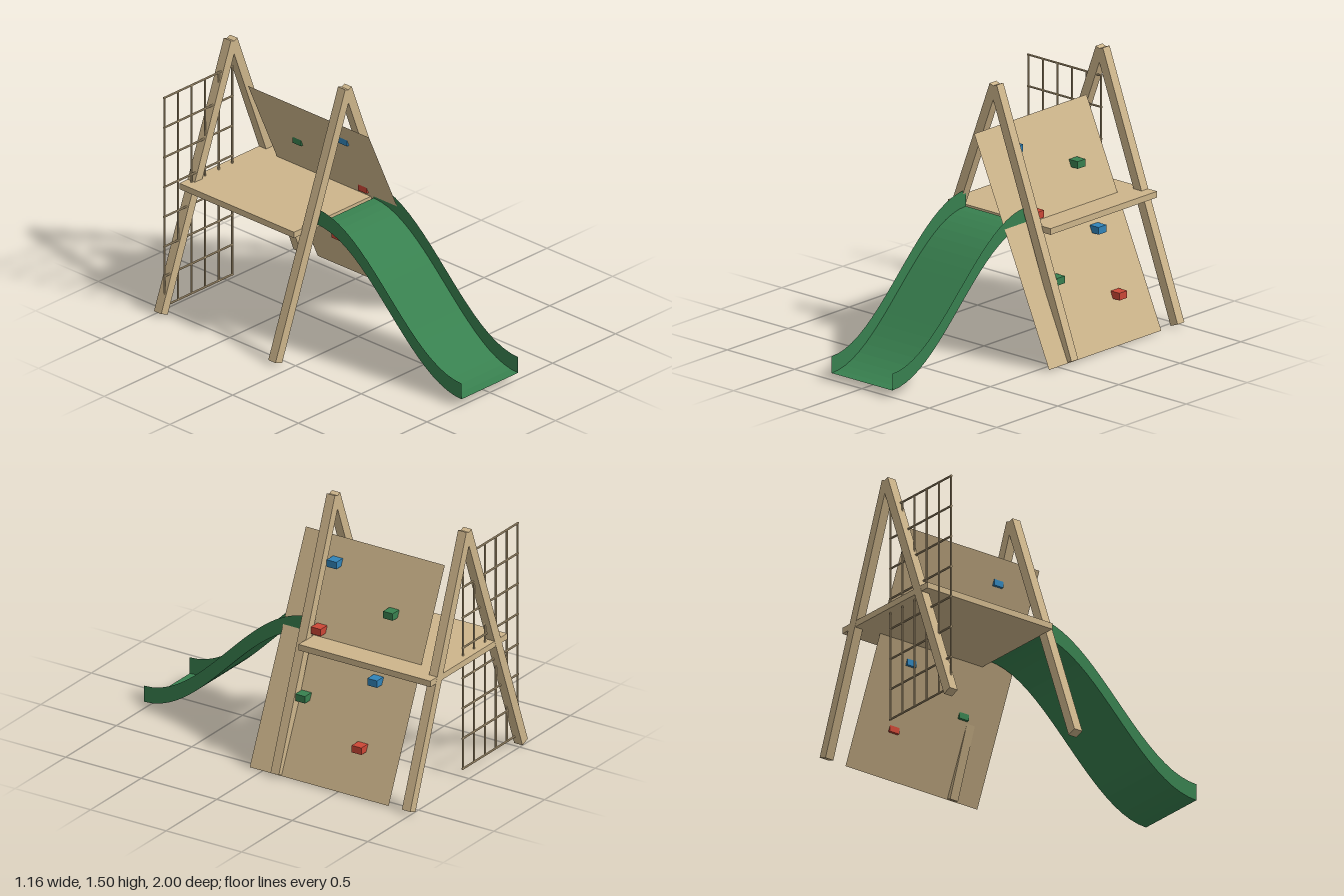
import * as THREE from 'three';

export function createModel() {
  const model = new THREE.Group();
  const material = (name, color) => {
    const m = new THREE.MeshStandardMaterial({ color, side: THREE.DoubleSide, flatShading: true });
    m.name = name;
    return m;
  };
  const wood = material('wood', 0xcdb58b);
  const green = material('green', 0x38804f);
  const red = material('red', 0xcb4736);
  const blue = material('blue', 0x3183b8);

  const add = (name, geometry, mat, x = 0, y = 0, z = 0, parent = model) => {
    const mesh = new THREE.Mesh(geometry, mat);
    mesh.name = name;
    mesh.position.set(x, y, z);
    parent.add(mesh);
    return mesh;
  };

  // A-frames: two square beams meeting at the apex
  const spread = 0.555, apex = 1.49, foot = 0.01;
  const legLength = Math.hypot(spread, apex - foot);
  const legTilt = Math.atan2(spread, apex - foot);
  for (const [name, z] of [['frontFrame', -0.1025], ['backFrame', -0.9725]]) {
    const frame = new THREE.Group();
    frame.name = name;
    model.add(frame);
    for (const side of [-1, 1]) {
      const leg = add(side > 0 ? 'leftLeg' : 'rightLeg', new THREE.BoxGeometry(0.056, legLength, 0.055),
        wood, side * spread / 2, (apex + foot) / 2, z, frame);
      leg.rotation.z = side * legTilt;
    }
  }

  // Platform
  add('platform', new THREE.BoxGeometry(0.76, 0.036, 0.873), wood, 0, 0.716, -0.5625);

  // Sloping climbing wall, a thin sheet
  const wallBottom = 0.005, wallTop = 1.25, wallFoot = 0.555;
  const wallX = (y) => wallFoot * (wallTop - y) / (wallTop - wallBottom);
  const wall = add('climbingWall',
    new THREE.PlaneGeometry(0.92, Math.hypot(wallFoot, wallTop - wallBottom)).rotateY(Math.PI / 2),
    wood, wallFoot / 2, (wallTop + wallBottom) / 2, -0.38);
  wall.rotation.z = Math.atan2(wallFoot, wallTop - wallBottom);

  // Climbing holds, alternating between two columns
  const holdColours = [blue, green, red];
  for (let i = 0; i < 6; i++) {
    const y = 1.125 - i * 0.1735;
    add('climbingHold', new THREE.BoxGeometry(0.064, 0.042, 0.064), holdColours[i % 3],
      wallX(y) + 0.025, y, i % 2 ? -0.59 : -0.165);
  }

  // Slide: S-curved strips joined between two edges of a cross-section
  const steps = 20, z0 = -0.1, z1 = 1;
  const slidePoint = (t) => [0.04 + 0.695 * (1 + Math.cos(Math.PI * t)) / 2, z0 + (z1 - z0) * t];
  const strip = (xa, ya, xb, yb) => {
    const positions = [], index = [];
    for (let i = 0; i <= steps; i++) {
      const [y, z] = slidePoint(i / steps);
      positions.push(xa, y + ya, z, xb, y + yb, z);
      const k = i * 2;
      if (i < steps) index.push(k, k + 2, k + 1, k + 1, k + 2, k + 3);
    }
    const g = new THREE.BufferGeometry();
    g.setAttribute('position', new THREE.Float32BufferAttribute(positions, 3));
    g.setIndex(index);
    g.computeVertexNormals();
    return g;
  };
  const slide = new THREE.Group();
  slide.name = 'slide';
  model.add(slide);
  const half = 0.225, rail = 0.097;
  add('slideBed', strip(-half, 0, half, 0), green, 0, 0, 0, slide);
  add('slideLeftRail', strip(half, 0, half, rail), green, 0, 0, 0, slide);
  add('slideRightRail', strip(-half, rail, -half, 0), green, 0, 0, 0, slide);

  // Climbing net: a grid of thin bars at the back
  const net = new THREE.Group();
  net.name = 'climbingNet';
  model.add(net);
  const left = -0.54, low = 0.05, high = 1.33, netZ = -0.96, r = 0.006;
  for (let i = 0; i < 6; i++) {
    add('netUpright', new THREE.CylinderGeometry(r, r, high - low, 8), wood,
      left * (1 - i / 5), (low + high) / 2, netZ, net);
  }
  for (let i = 0; i < 8; i++) {
    add('netRung', new THREE.CylinderGeometry(r, r, -left + 2 * r, 8).rotateZ(Math.PI / 2), wood,
      left / 2, low + (high - low) * i / 7, netZ, net);
  }
  return model;
}
